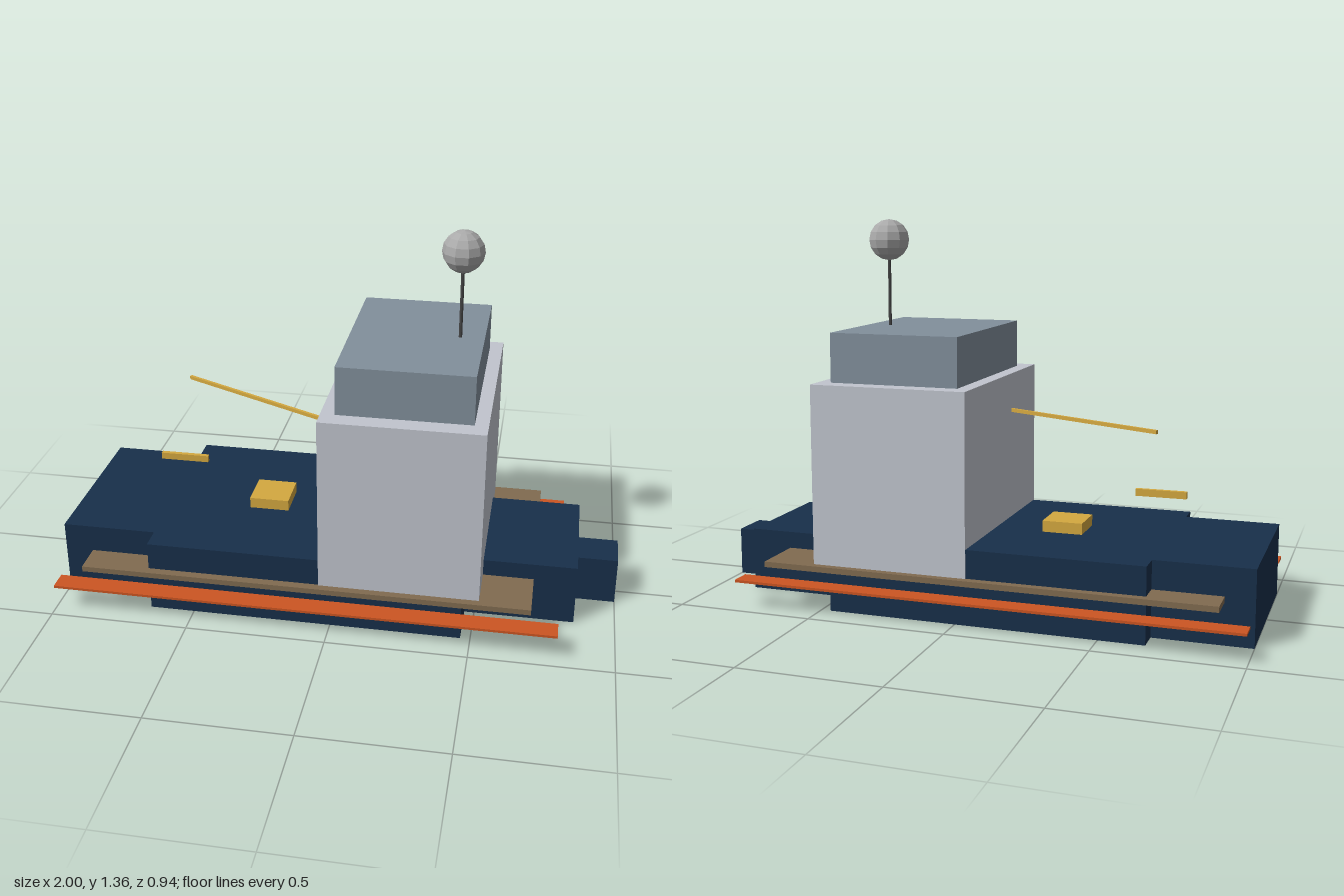
import * as THREE from 'three';

const paint = (color) => new THREE.MeshStandardMaterial({ color, flatShading: true });
const navy = paint(0x182f4a), tan = paint(0x806b50), orange = paint(0xcc5522);
const pale = paint(0xc1c5ce), slate = paint(0x82909c), gold = paint(0xd4a840);
const dark = paint(0x444444), grey = paint(0xaaaaaa);

export function createModel() {
  const group = new THREE.Group();

  const add = (name, geometry, material, x, y, z) => {
    const mesh = new THREE.Mesh(geometry, material);
    mesh.name = name;
    mesh.position.set(x, y, z);
    group.add(mesh);
    return mesh;
  };
  // Box given by its extents along each axis
  const box = (name, material, [x0, x1], [y0, y1], [z0, z1]) =>
    add(name, new THREE.BoxGeometry(x1 - x0, y1 - y0, z1 - z0), material,
      (x0 + x1) / 2, (y0 + y1) / 2, (z0 + z1) / 2);

  // Stepped hull, stern to bow
  box('sternHull', navy, [-1, -0.66], [0, 0.265], [-0.31, 0.31]);
  box('mainHull', navy, [-0.66, 0.465], [0, 0.265], [-0.393, 0.393]);
  box('bowHull', navy, [0.465, 0.855], [0, 0.225], [-0.228, 0.228]);
  box('bowTip', navy, [0.855, 1], [0, 0.175], [-0.072, 0.072]);

  // Side deck and waterline strips
  box('sideDeck', tan, [-0.9, 0.705], [0.145, 0.165], [-0.424, 0.424]);
  for (const [name, z] of [['leftStrip', 0.433], ['rightStrip', -0.433]])
    box(name, orange, [-0.995, 0.8], [0.093, 0.102], [z - 0.037, z + 0.037]);

  // Superstructure
  box('cabin', pale, [-0.04, 0.525], [0.16, 0.802], [-0.397, 0.397]);
  box('bridge', slate, [0.01, 0.478], [0.802, 0.976], [-0.33, 0.33]);

  // Mast with radar dome
  add('mast', new THREE.CylinderGeometry(0.006, 0.006, 0.28, 8), dark, 0.393, 1.1, 0);
  add('radarDome', new THREE.SphereGeometry(0.074, 10, 8), grey, 0.393, 1.287, 0);

  // Deck gear: hatch, bar and slewed crane boom
  box('hatch', gold, [-0.36, -0.215], [0.265, 0.305], [-0.073, 0.073]);
  box('bar', gold, [-0.715, -0.535], [0.405, 0.43], [-0.008, 0.008]);
  const boom = add('craneBoom', new THREE.BoxGeometry(0.68, 0.013, 0.011), gold, -0.335, 0.666, -0.03);
  boom.rotation.y = -Math.atan2(0.29, 0.6);

  return group;
}
